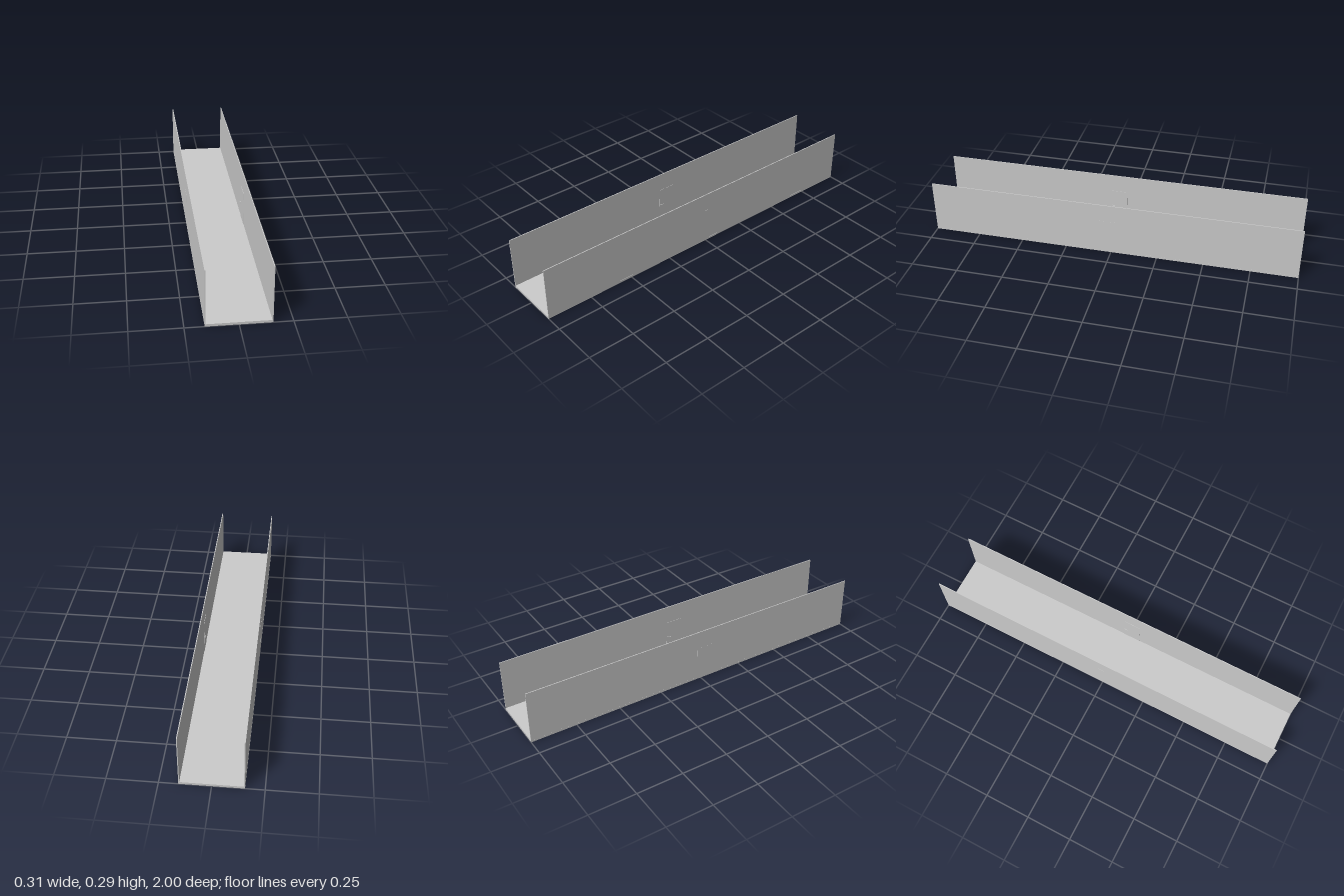
import * as THREE from 'three';

const material = new THREE.MeshStandardMaterial({ color: 0xcccccc, flatShading: true });

function box(parent, name, size, position) {
  const mesh = new THREE.Mesh(new THREE.BoxGeometry(...size), material);
  mesh.name = name;
  mesh.position.set(...position);
  parent.add(mesh);
  return mesh;
}

// One wall with its door, built on the +x side
function createSide(name) {
  const side = new THREE.Group();
  side.name = name;
  box(side, 'wall', [0.0045, 0.288, 2], [0.154, 0.149, 0]);

  // Door slab, slightly thicker than the wall
  const door = new THREE.Group();
  door.name = 'door';
  box(door, 'doorPanel', [0.0065, 0.185, 0.096], [0.1535, 0.1025, 0]);

  // Lever handle on the inner face
  const handle = new THREE.Group();
  handle.name = 'handle';
  const stem = new THREE.Mesh(new THREE.CylinderGeometry(0.0016, 0.0016, 0.008, 12), material);
  stem.name = 'handleStem';
  stem.rotation.z = Math.PI / 2;
  stem.position.set(0.147, 0.102, -0.041);
  handle.add(stem);
  box(handle, 'handleLever', [0.0025, 0.0035, 0.018], [0.1445, 0.102, -0.034]);
  door.add(handle);
  side.add(door);
  return { side, door };
}

export function createModel() {
  const model = new THREE.Group();
  model.name = 'corridor';
  box(model, 'floor', [0.313, 0.012, 2], [0, 0.006, 0]);

  // The two sides face each other, turned half a circle
  const doorZ = 0.024;
  for (const [name, turn] of [['leftSide', 0], ['rightSide', Math.PI]]) {
    const { side, door } = createSide(name);
    side.rotation.y = turn;
    door.position.z = doorZ * Math.cos(turn);
    model.add(side);
  }
  return model;
}
